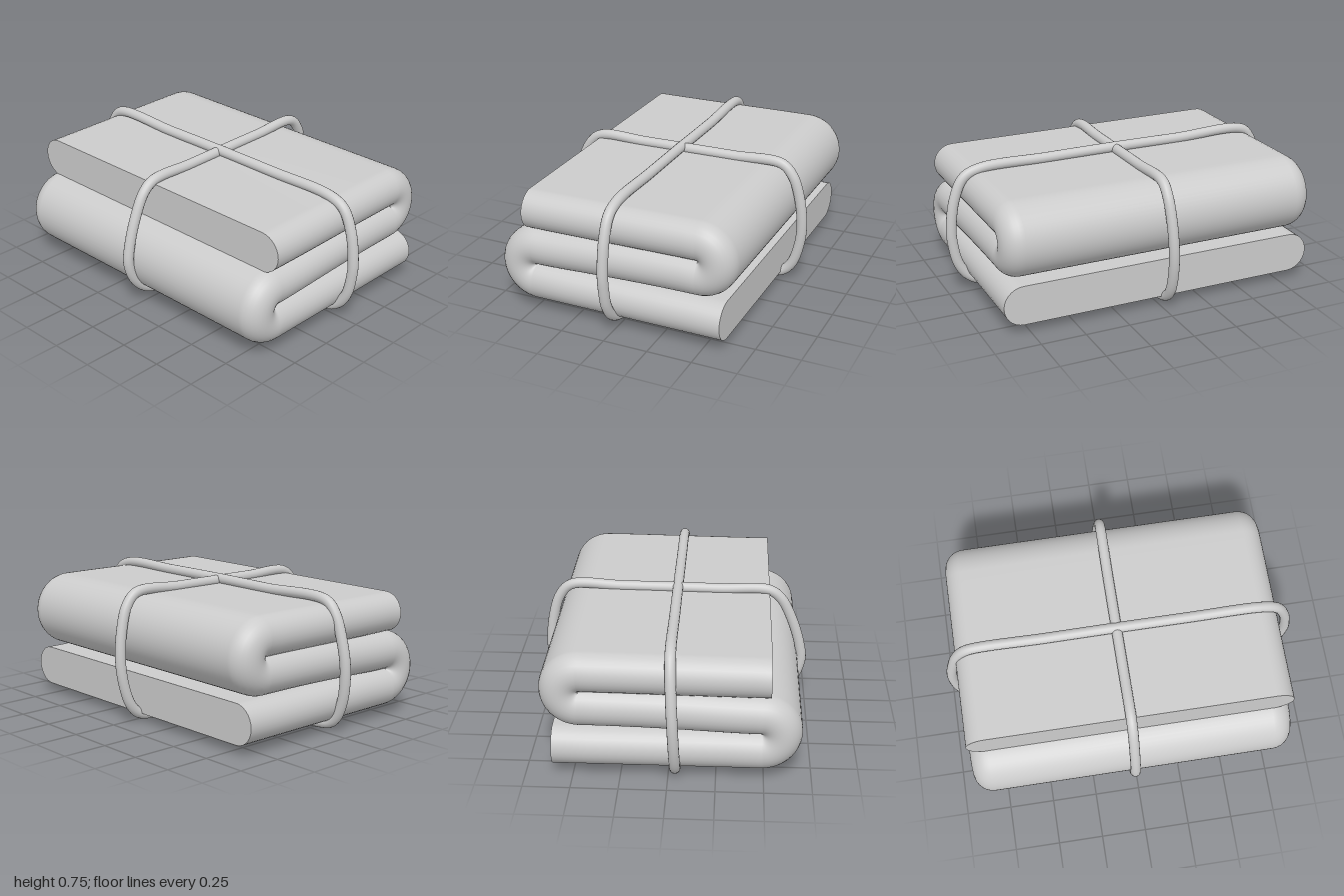
import * as THREE from 'three';

const HALF = 0.11;    // half the thickness of the folded layer
const FLAT = 0.797;   // half width of the flat part, before the rounded edges
const MID_Z = -0.013;
const V2 = (x, y) => new THREE.Vector2(x, y);

// Stadium outline as [z, offset across the layer]
function stadium(steps) {
  const ring = [];
  for (const side of [1, -1]) {
    for (let i = 0; i <= steps; i++) {
      const a = -Math.PI / 2 + Math.PI * i / steps;
      ring.push([side * (FLAT + HALF * Math.cos(a)), side * HALF * Math.sin(a)]);
    }
  }
  return ring;
}

// Centre line of the S-shaped fold, bottom layer first
function foldPath() {
  const pieces = [
    [new THREE.LineCurve(V2(0.605, 0.1625), V2(-0.485, 0.1625)), 6],
    [new THREE.ArcCurve(-0.485, 0.265, 0.1025, 1.5 * Math.PI, 0.5 * Math.PI, true), 28],
    [new THREE.CubicBezierCurve(V2(-0.485, 0.3675), V2(-0.3, 0.3675), V2(0, 0.395), V2(0.46, 0.395)), 16],
    [new THREE.ArcCurve(0.46, 0.4925, 0.0975, -0.5 * Math.PI, 0.5 * Math.PI, false), 28],
    [new THREE.CubicBezierCurve(V2(0.46, 0.59), V2(0.2, 0.59), V2(-0.2, 0.58), V2(-0.527, 0.58)), 12],
  ];
  const stations = [];
  pieces.forEach(([curve, n], k) => {
    for (let i = k ? 1 : 0; i <= n; i++) {
      stations.push({ p: curve.getPoint(i / n), t: curve.getTangent(i / n) });
    }
  });
  return stations;
}

// Sweep the stadium along the fold and close both ends with flat caps
function foldedGeometry() {
  const ring = stadium(14), path = foldPath(), n = ring.length;
  const pos = [], index = [];
  const addRing = ({ p, t }) => {
    for (const [z, d] of ring) pos.push(p.x - t.y * d, p.y + t.x * d, MID_Z + z);
  };
  path.forEach(addRing);
  for (let i = 0; i < path.length - 1; i++) {
    for (let j = 0; j < n; j++) {
      const a = i * n + j, b = i * n + (j + 1) % n;
      index.push(a, a + n, b, b, a + n, b + n);
    }
  }
  [path[0], path[path.length - 1]].forEach((station, end) => {
    const base = pos.length / 3;
    addRing(station);
    for (let j = 1; j < n - 1; j++) {
      if (end) index.push(base, base + j + 1, base + j);
      else index.push(base, base + j, base + j + 1);
    }
  });
  const geo = new THREE.BufferGeometry();
  geo.setAttribute('position', new THREE.Float32BufferAttribute(pos, 3));
  geo.setIndex(index);
  geo.computeVertexNormals();
  return geo;
}

// Closed cord through a loop of points
function cordGeometry(points) {
  const curve = new THREE.CatmullRomCurve3(points, true, 'centripetal');
  return new THREE.TubeGeometry(curve, 220, 0.029, 16, true);
}

export function createModel() {
  const group = new THREE.Group();
  const material = new THREE.MeshStandardMaterial({ color: 0xcccccc });
  const add = (name, geometry) => {
    const mesh = new THREE.Mesh(geometry, material);
    mesh.name = name;
    group.add(mesh);
  };

  add('foldedBlanket', foldedGeometry());

  // Cord across the width: [x, y, z]
  const across = [
    [-0.52, 0.704, -0.015], [-0.25, 0.706, -0.015], [0, 0.709, -0.015], [0.3, 0.712, -0.015],
    [0.59, 0.714, -0.013], [0.655, 0.65, -0.012], [0.695, 0.53, -0.017], [0.714, 0.36, -0.025],
    [0.7, 0.23, -0.031], [0.66, 0.11, -0.036], [0.61, 0.055, -0.037], [0.54, 0.035, -0.036],
    [0.25, 0.037, -0.028], [0, 0.04, -0.02], [-0.25, 0.042, -0.016], [-0.47, 0.044, -0.015],
    [-0.59, 0.075, -0.015], [-0.675, 0.155, -0.015], [-0.716, 0.27, -0.015], [-0.705, 0.37, -0.015],
    [-0.655, 0.53, -0.015], [-0.59, 0.655, -0.015],
  ];
  add('crossCord', cordGeometry(across.map(p => new THREE.Vector3(...p))));

  // Cord along the length: [z, y, x]
  const along = [
    [0.79, 0.711, -0.012], [0.4, 0.715, -0.012], [0, 0.717, -0.012], [-0.4, 0.714, -0.012],
    [-0.84, 0.711, -0.013], [-0.9, 0.65, -0.015], [-0.944, 0.52, -0.02], [-0.967, 0.37, -0.027],
    [-0.95, 0.2, -0.034], [-0.905, 0.09, -0.037], [-0.86, 0.05, -0.037], [-0.79, 0.037, -0.035],
    [-0.4, 0.039, -0.026], [0, 0.042, -0.018], [0.4, 0.045, -0.013], [0.79, 0.053, -0.012],
    [0.88, 0.095, -0.012], [0.935, 0.175, -0.012], [0.963, 0.3, -0.012], [0.967, 0.38, -0.012],
    [0.942, 0.55, -0.012], [0.885, 0.67, -0.012],
  ];
  add('lengthCord', cordGeometry(along.map(([z, y, x]) => new THREE.Vector3(x, y, z))));

  return group;
}
